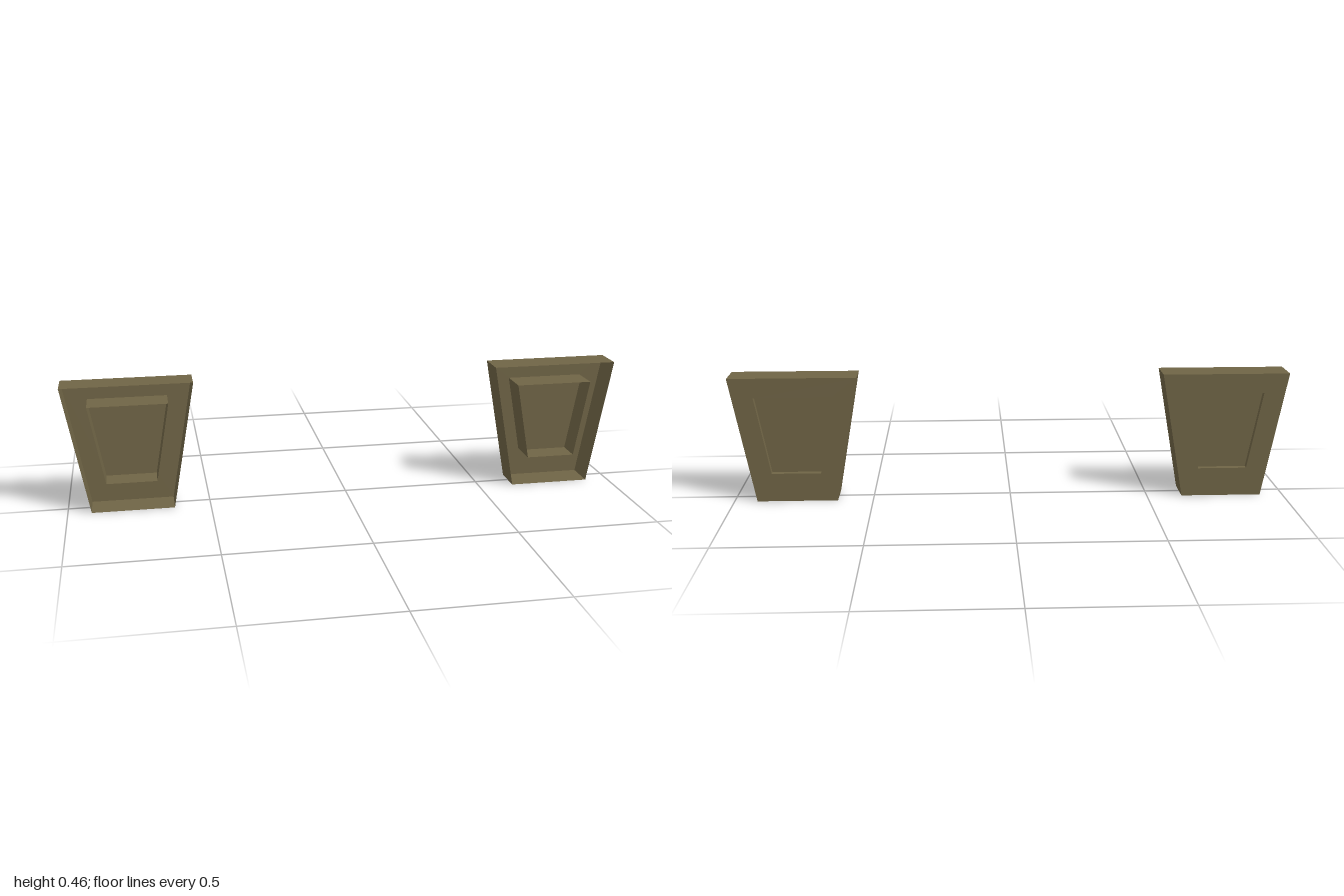
import * as THREE from 'three';

const FRONT = 0.055, BACK = -0.055, PANEL = -0.034;

// Corners of a symmetric trapezoid, counter-clockwise from bottom left
function trapezoid(halfBottom, halfTop, y0, y1) {
  return [[-halfBottom, y0], [halfBottom, y0], [halfTop, y1], [-halfTop, y1]]
    .map(([x, y]) => new THREE.Vector2(x, y));
}

// Thin open band that follows an outline from back to front
function wallGeometry(outline) {
  const positions = [];
  outline.forEach((a, i) => {
    const b = outline[(i + 1) % outline.length];
    positions.push(
      a.x, a.y, BACK, b.x, b.y, BACK, b.x, b.y, FRONT,
      a.x, a.y, BACK, b.x, b.y, FRONT, a.x, a.y, FRONT
    );
  });
  const geometry = new THREE.BufferGeometry();
  geometry.setAttribute('position', new THREE.Float32BufferAttribute(positions, 3));
  geometry.computeVertexNormals();
  return geometry;
}

export function createModel() {
  const model = new THREE.Group();
  model.name = 'taperedTrayPair';

  const olive = new THREE.MeshStandardMaterial({ color: 0x706546, side: THREE.DoubleSide });
  olive.name = 'olive brown';

  const outer = trapezoid(0.145, 0.2275, 0, 0.456);
  const inner = trapezoid(0.0885, 0.139, 0.104, 0.385);

  // Back plate with an opening for the recessed panel
  const backShape = new THREE.Shape(outer);
  backShape.holes.push(new THREE.Path(inner));

  const parts = [
    ['outerWall', wallGeometry(outer)],
    ['innerWall', wallGeometry(inner)],
    ['backFrame', new THREE.ShapeGeometry(backShape).translate(0, 0, BACK)],
    ['recessedPanel', new THREE.ShapeGeometry(new THREE.Shape(inner)).translate(0, 0, PANEL)]
  ];

  // The same open-fronted tray on each side
  for (const [name, side] of [['leftTray', 1], ['rightTray', -1]]) {
    const tray = new THREE.Group();
    tray.name = name;
    tray.position.x = side * 0.7725;
    for (const [partName, geometry] of parts) {
      const mesh = new THREE.Mesh(geometry, olive);
      mesh.name = partName;
      tray.add(mesh);
    }
    model.add(tray);
  }
  return model;
}
